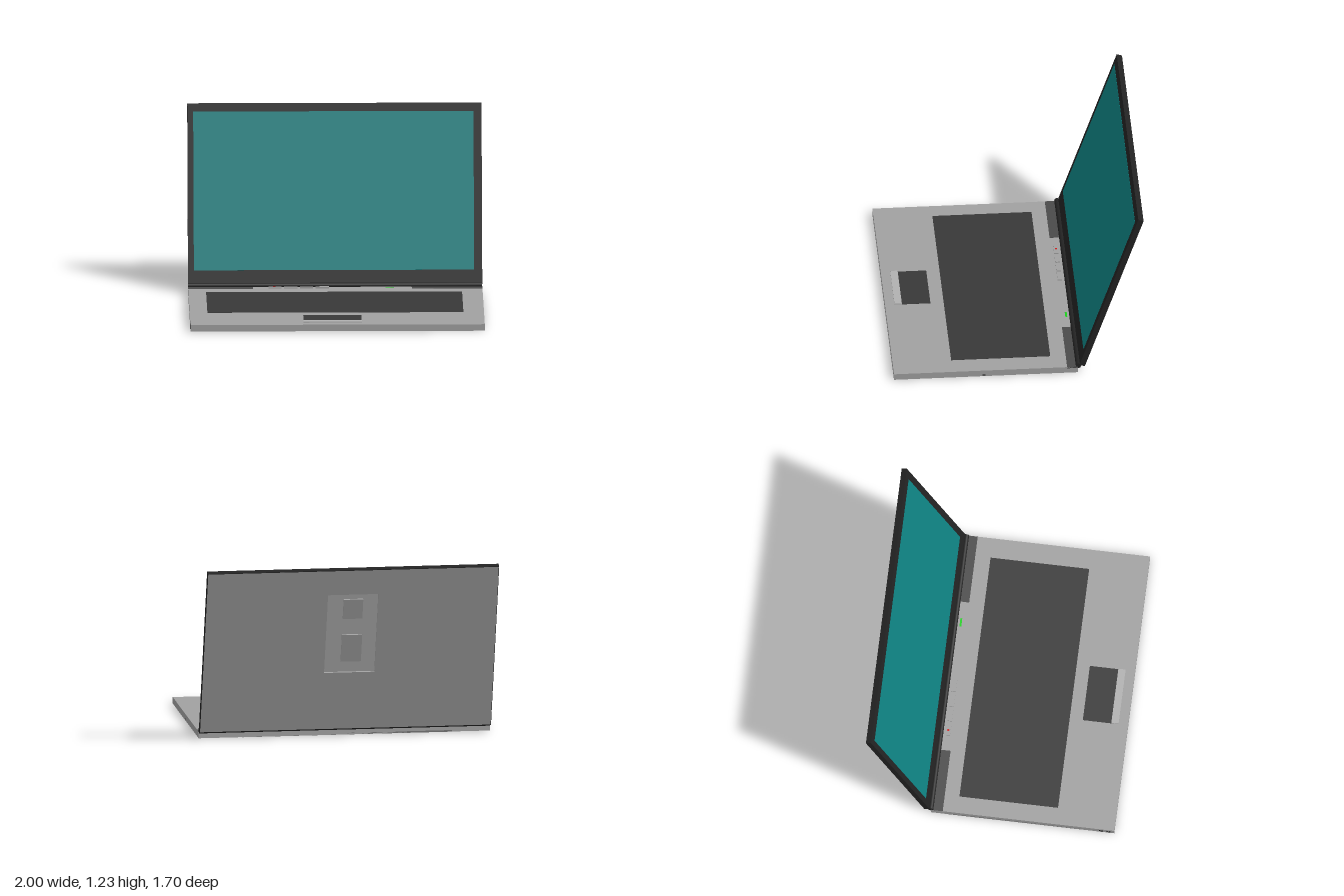
import * as THREE from 'three';

const mat = (color) => new THREE.MeshStandardMaterial({ color });

// Box given by its min and max corners
function block(name, material, [x0, y0, z0], [x1, y1, z1]) {
  const mesh = new THREE.Mesh(new THREE.BoxGeometry(x1 - x0, y1 - y0, z1 - z0), material);
  mesh.name = name;
  mesh.position.set((x0 + x1) / 2, (y0 + y1) / 2, (z0 + z1) / 2);
  return mesh;
}

function rect(Type, [x0, y0, x1, y1]) {
  return new Type([[x0, y0], [x1, y0], [x1, y1], [x0, y1]].map((p) => new THREE.Vector2(...p)));
}

// Flat rectangular frame, extruded from z0 towards +z
function frame(name, material, outer, inner, z0, depth) {
  const shape = rect(THREE.Shape, outer);
  shape.holes.push(rect(THREE.Path, inner));
  const mesh = new THREE.Mesh(new THREE.ExtrudeGeometry(shape, { depth, bevelEnabled: false }), material);
  mesh.name = name;
  mesh.position.z = z0;
  return mesh;
}

export function createModel() {
  const model = new THREE.Group();
  model.name = 'laptop';
  const grey = mat(0xa0a0a0), light = mat(0xb0b0b0), dark = mat(0x222222);
  const black = mat(0x101010), keys = mat(0x383838), grille = mat(0x4a4a4a), hatch = mat(0x737373);
  const H = 0.045; // height of the base
  const T = 0.001; // thickness of inlaid panels

  // Base with everything set into its top
  const base = new THREE.Group();
  base.name = 'base';
  base.add(
    block('baseBody', grey, [-1, 0, -0.405], [1, H, 0.85]),
    block('keyboard', keys, [-0.88, H - 0.01, -0.225], [0.86, H + T, 0.45]),
    block('touchpad', keys, [-0.23, H - 0.01, 0.54], [0.165, H + T, 0.735]),
    block('touchpadButton', light, [-0.23, H - 0.01, 0.735], [0.165, H + 0.009, 0.785]),
    block('rightSpeaker', grille, [-1, H - 0.01, -0.405], [-0.56, H + T, -0.325]),
    block('leftSpeaker', grille, [0.52, H - 0.01, -0.405], [1, H + T, -0.33]),
    block('statusLight', mat(0x18d018), [0.34, H - 0.01, -0.375], [0.4, H + 0.002, -0.362]),
  );

  // Row of four media buttons, the first with a red lamp
  for (let i = 0; i < 4; i++) {
    const x = -0.455 + i * 0.107;
    base.add(block('mediaButton', grey, [x, H - 0.01, -0.373], [x + 0.09, H + 0.008, -0.342]));
  }
  const lamp = new THREE.Mesh(new THREE.CylinderGeometry(0.008, 0.008, 0.01, 12), mat(0xd01818));
  lamp.name = 'powerLamp';
  lamp.position.set(-0.415, H + 0.0045, -0.358);
  base.add(lamp);

  // Hatches on the underside
  base.add(
    block('batteryHatch', hatch, [-0.74, -T, -0.405], [0.7, 0.01, -0.23]),
    block('sideHatch', hatch, [-1, -T, -0.295], [-0.88, 0.01, 0.635]),
  );

  // Side port and two round jacks on the other side
  base.add(block('sidePort', black, [0.99, 0.006, 0.226], [1 + T, 0.014, 0.246]));
  for (const z of [0.76, 0.81]) {
    const jack = new THREE.Mesh(new THREE.TorusGeometry(0.011, 0.004, 8, 20), black);
    jack.name = 'audioJack';
    jack.rotation.y = Math.PI / 2;
    jack.position.set(-0.998, 0.022, z);
    base.add(jack);
  }
  model.add(base);

  // Hinge bar
  const hinge = new THREE.Mesh(new THREE.CylinderGeometry(0.018, 0.018, 1.998, 20), dark);
  hinge.name = 'hinge';
  hinge.rotation.z = Math.PI / 2;
  hinge.position.set(0, 0.052, -0.407);
  model.add(hinge);

  // Lid, built upright and then leaned back
  const lid = new THREE.Group();
  lid.name = 'lid';
  const outer = [-1, 0.01, 1, 1.25];
  const inset = [-0.997, 0.013, 0.997, 1.247];
  const recess = [-0.18, 0.452, 0.166, 1.06];
  lid.add(
    block('lidBody', dark, [-1, 0.01, -0.024], [1, 1.25, 0]),
    frame('lidRim', dark, outer, inset, -0.038, 0.014),
    frame('backCover', grey, inset, recess, -0.038, 0.014),
    block('screen', mat(0x0e8080), [-0.96, 0.106, -0.01], [0.945, 1.193, T]),
  );

  // Recessed plate on the back with two raised pads
  lid.add(
    block('backPlate', light, [-0.18, 0.452, -0.026], [0.166, 1.06, -0.02]),
    block('upperPad', grey, [-0.078, 0.87, -0.037], [0.056, 1.02, -0.024]),
    block('lowerPad', grey, [-0.083, 0.536, -0.037], [0.056, 0.744, -0.024]),
  );
  lid.position.set(0, 0.05, -0.411);
  lid.rotation.x = -0.329;
  model.add(lid);

  return model;
}
